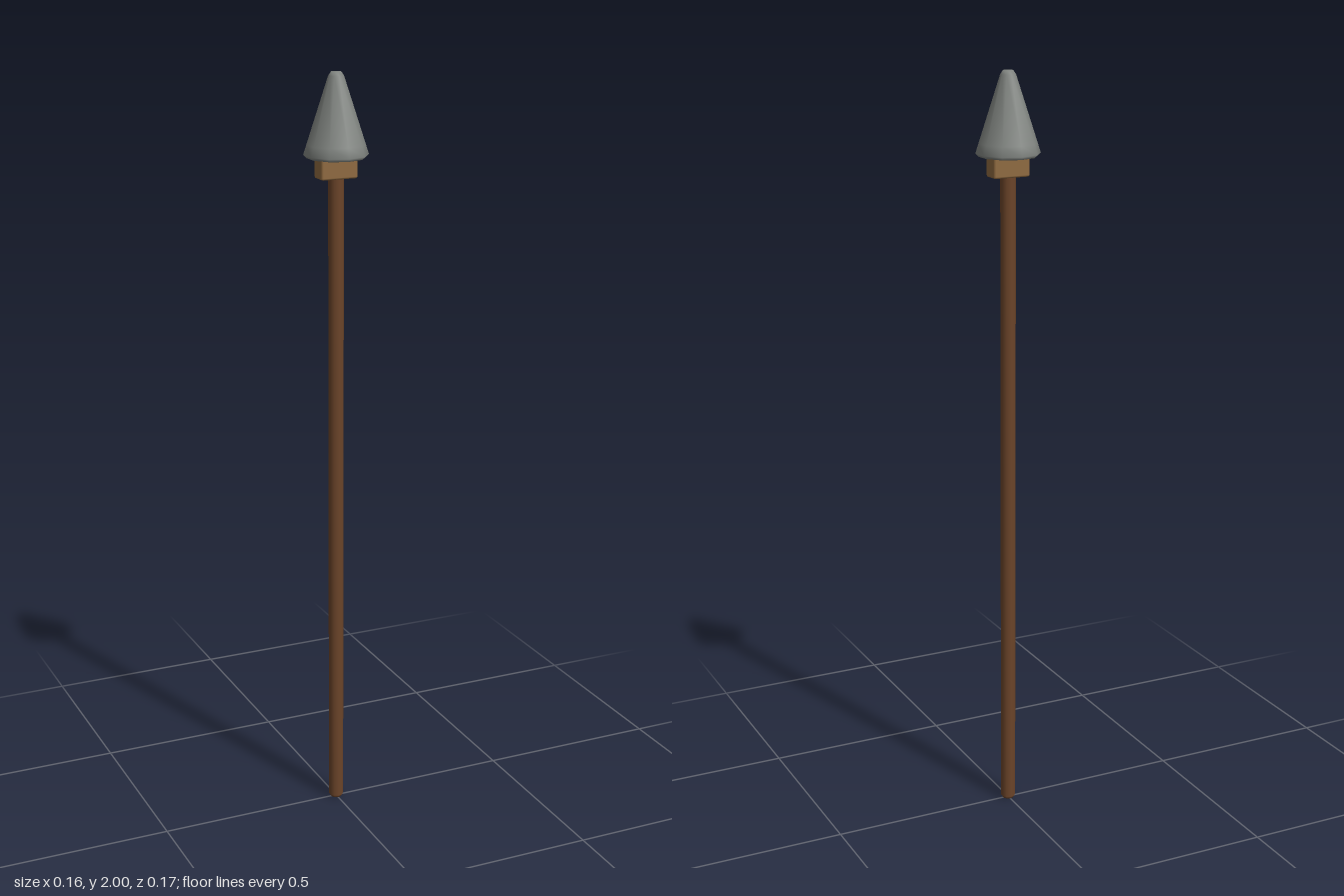
import * as THREE from 'three';
import { RoundedBoxGeometry } from 'three/addons/geometries/RoundedBoxGeometry.js';

const SIDES = 10;

function addPart(group, name, geometry, color) {
  const mesh = new THREE.Mesh(geometry, new THREE.MeshStandardMaterial({ color }));
  mesh.name = name;
  group.add(mesh);
  return mesh;
}

// Ten-sided turned solid with softened rims, profile listed from bottom to top
function turned(profile) {
  return new THREE.LatheGeometry(profile.map(([r, y]) => new THREE.Vector2(r, y)), SIDES);
}

export function createModel() {
  const spear = new THREE.Group();
  spear.name = 'spear';

  // Long wooden shaft with a bevelled butt
  addPart(spear, 'shaft', turned([
    [0, 0], [0.015, 0], [0.02, 0.008], [0.02, 1.79], [0.015, 1.8], [0, 1.8],
  ]), 0x6b4429);

  // Flat block that binds the head to the shaft
  const collar = addPart(spear, 'collar', new RoundedBoxGeometry(0.1, 0.06, 0.05, 1, 0.005), 0x8f6a40);
  collar.position.y = 1.765;

  // Blunt-tipped conical head with a bevelled base rim
  addPart(spear, 'head', turned([
    [0, 1.787], [0.075, 1.787], [0.083, 1.795], [0.075, 1.82],
    [0.02, 1.99], [0.013, 2], [0, 2],
  ]), 0x808480);

  return spear;
}
